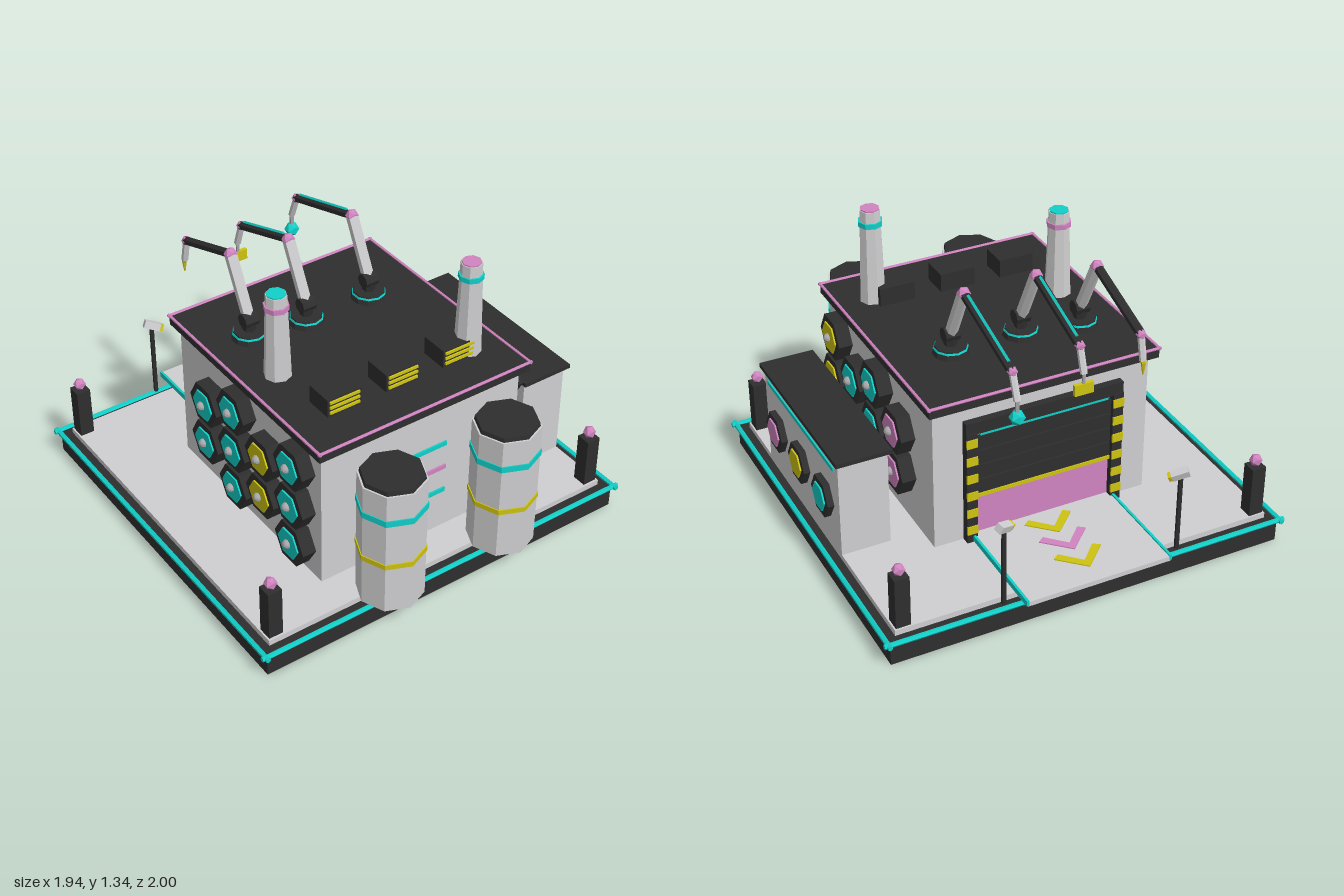
import * as THREE from 'three';

const mat = (name, color) => {
  const m = new THREE.MeshStandardMaterial({ color });
  m.name = name;
  return m;
};
const V = (x, y, z) => new THREE.Vector3(x, y, z);

export function createModel() {
  const model = new THREE.Group();
  model.name = 'factory';
  const light = mat('lightGrey', 0xcfcfd1), dark = mat('charcoal', 0x2e2e2e), metal = mat('steel', 0xa8a8aa);
  const teal = mat('teal', 0x12d0c9), pink = mat('pink', 0xd084c0), yellow = mat('yellow', 0xcec312);

  // Faceted mesh helper
  const add = (name, geo, material, x = 0, y = 0, z = 0, parent = model) => {
    const g = geo.index ? geo.toNonIndexed() : geo;
    g.computeVertexNormals();
    const mesh = new THREE.Mesh(g, material);
    mesh.name = name;
    mesh.position.set(x, y, z);
    parent.add(mesh);
    return mesh;
  };
  // Box given by its extents
  const box = (name, m, x0, x1, y0, y1, z0, z1, parent = model) =>
    add(name, new THREE.BoxGeometry(x1 - x0, y1 - y0, z1 - z0), m, (x0 + x1) / 2, (y0 + y1) / 2, (z0 + z1) / 2, parent);
  // Upright cylinder between two heights
  const cyl = (name, m, rTop, rBottom, y0, y1, x, z, sides = 8, parent = model) =>
    add(name, new THREE.CylinderGeometry(rTop, rBottom, y1 - y0, sides), m, x, (y0 + y1) / 2, z, parent);
  // Rod between two points
  const rod = (name, m, a, b, r, sides = 6, parent = model) => {
    const d = b.clone().sub(a), mid = a.clone().add(b).multiplyScalar(0.5);
    const mesh = add(name, new THREE.CylinderGeometry(r, r, d.length(), sides), m, mid.x, mid.y, mid.z, parent);
    mesh.quaternion.setFromUnitVectors(V(0, 1, 0), d.normalize());
    return mesh;
  };
  const ball = (name, m, r, p, parent = model, detail = 0) =>
    add(name, new THREE.IcosahedronGeometry(r, detail), m, p.x, p.y, p.z, parent);
  const group = (name) => {
    const g = new THREE.Group();
    g.name = name;
    model.add(g);
    return g;
  };
  // Rectangular edging made of four rods
  const edging = (name, m, x, z0, z1, y, r, over) => {
    for (const s of [-1, 1]) rod(name, m, V(s * x, y, z0 - over), V(s * x, y, z1 + over), r);
    for (const z of [z0, z1]) rod(name, m, V(-x - over, y, z), V(x + over, y, z), r);
  };

  // Base and floor
  box('base', dark, -0.94, 0.94, 0, 0.108, -0.93, 0.865);
  box('floor', light, -0.9, 0.9, 0.1, 0.135, -0.89, 0.82);
  edging('baseTrim', teal, 0.95, -0.938, 0.872, 0.11, 0.012, 0.02);

  // Main hall and roof
  box('hall', light, -0.52, 0.52, 0.13, 0.835, -0.46, 0.65);
  box('roof', dark, -0.55, 0.55, 0.83, 0.875, -0.5, 0.685);
  edging('roofTrim', pink, 0.55, -0.5, 0.685, 0.876, 0.007, 0.008);
  [[teal, 0.605], [pink, 0.475], [teal, 0.345]].forEach(([m, y]) =>
    box('frontStripe', m, -0.13, 0.13, y - 0.011, y + 0.011, 0.65, 0.658));

  // Storage tanks with bands and wall pipe
  for (const x of [-0.3, 0.3]) {
    const g = group('tank');
    cyl('tankBody', light, 0.15, 0.15, 0.135, 0.765, x, 0.845, 8, g);
    cyl('tankCap', dark, 0.138, 0.142, 0.762, 0.785, x, 0.845, 8, g);
    cyl('tankBand', teal, 0.155, 0.155, 0.61, 0.64, x, 0.845, 8, g);
    cyl('tankBand', yellow, 0.155, 0.155, 0.375, 0.4, x, 0.845, 8, g);
    rod('tankPipe', dark, V(x, 0.67, 0.7), V(x, 0.54, 0.65), 0.025, 6, g);
  }

  // Hexagonal cells on a wall facing +x or -x
  const hexCell = (side, x, depth, y, z, r, m, stud) => {
    const g = group('hexCell');
    const hex = (name, mm, rad, h, px) =>
      add(name, new THREE.CylinderGeometry(rad, rad, h, 6).rotateZ(-Math.PI / 2), mm, side * px, y, z, g);
    hex('cellFrame', dark, r, depth, x + depth / 2);
    hex('cellPanel', m, r * 0.69, 0.009, x + depth + 0.003);
    if (stud) ball('cellStud', metal, 0.022, V(side * (x + depth + 0.01), y, z), g, 1);
  };
  const columns = [
    [0.5, [0.7, 0.49, 0.28], yellow, teal],
    [0.275, [0.595, 0.385], teal, yellow],
    [0.05, [0.7, 0.49, 0.28], teal, teal],
    [-0.175, [0.595, 0.385], pink, teal],
  ];
  for (const [z, rows, leftM, rightM] of columns) for (const y of rows) {
    hexCell(1, 0.515, 0.072, y, z, 0.11, leftM, true);
    hexCell(-1, 0.515, 0.072, y, z, 0.11, rightM, true);
  }

  // Side annex
  box('annex', light, 0.67, 0.9, 0.13, 0.61, -0.33, 0.525);
  box('annexRoof', dark, 0.655, 0.915, 0.605, 0.625, -0.352, 0.55);
  box('annexStripe', teal, 0.9, 0.907, 0.55, 0.57, -0.29, 0.48);
  [[0.37, pink], [0.1, yellow], [-0.175, teal]].forEach(([z, m]) =>
    hexCell(1, 0.895, 0.035, 0.36, z, 0.097, m, false));

  // Chimneys
  [[-0.39, 0.135, 1.29, 1.23, pink, teal], [0.385, 0.455, 1.33, 1.265, teal, pink]].forEach(([x, z, top, by, band, lid]) => {
    const g = group('chimney');
    cyl('chimneyStack', light, 0.048, 0.062, 0.87, top, x, z, 8, g);
    cyl('chimneyBand', band, 0.057, 0.057, by - 0.012, by + 0.012, x, z, 8, g);
    cyl('chimneyLid', lid, 0.044, 0.044, top, top + 0.006, x, z, 8, g);
  });

  // Roof vents
  for (const x of [-0.3, 0, 0.3]) {
    box('vent', dark, x - 0.085, x + 0.085, 0.87, 0.962, 0.37, 0.503);
    for (const y of [0.896, 0.922, 0.948])
      box('ventSlat', yellow, x - 0.076, x + 0.076, y - 0.006, y + 0.006, 0.503, 0.511);
  }

  // Robot arms: base, upper arm, forearm, wrist and tool
  const arms = [
    [-0.34, -0.165, -0.68, -0.705, 'spike'],
    [-0.07, -0.12, -0.645, -0.685, 'plate'],
    [0.27, -0.12, -0.7, -0.745, 'orb'],
  ];
  for (const [x, bz, wz, tz, tool] of arms) {
    const g = group('robotArm');
    const shoulder = V(x, 0.965, bz), elbow = V(x, 1.235, bz - 0.135);
    const wrist = V(x, 1.1, wz), hand = V(x, 0.985, tz);
    cyl('armBase', dark, 0.072, 0.085, 0.87, 0.915, x, bz, 10, g);
    cyl('armBaseRing', teal, 0.076, 0.079, 0.9, 0.908, x, bz, 10, g);
    rod('armPost', dark, V(x, 0.91, bz), shoulder, 0.03, 6, g);
    rod('shoulder', dark, V(x - 0.035, 0.968, bz), V(x + 0.035, 0.968, bz), 0.035, 8, g);
    rod('upperArm', light, shoulder, elbow, 0.028, 6, g);
    ball('elbow', pink, 0.031, elbow, g);
    rod('forearm', dark, elbow, wrist, 0.021, 6, g);
    if (tool !== 'spike') {
      const lift = V(0, 0.021, -0.006);
      rod('forearmStripe', teal, elbow.clone().lerp(wrist, 0.08).add(lift), elbow.clone().lerp(wrist, 0.92).add(lift), 0.007, 4, g);
    }
    ball('wristJoint', pink, 0.024, wrist, g);
    rod('hand', light, wrist, hand, 0.016, 6, g);
    if (tool === 'spike') {
      ball('toolJoint', yellow, 0.016, hand, g);
      cyl('toolSpike', yellow, 0.012, 0.003, 0.92, 0.98, x, tz - 0.005, 6, g);
    } else if (tool === 'plate') {
      rod('toolStem', metal, hand, V(x, 0.93, tz), 0.008, 6, g);
      box('toolPlate', yellow, x - 0.045, x + 0.045, 0.888, 0.94, tz - 0.009, tz + 0.009, g);
    } else {
      rod('toolStem', metal, hand, V(x, 0.93, tz), 0.01, 6, g);
      ball('toolOrb', teal, 0.036, V(x, 0.907, tz), g);
    }
  }

  // Loading door
  box('doorGlow', pink, -0.33, 0.33, 0.14, 0.36, -0.468, -0.46);
  box('shutterBack', metal, -0.33, 0.33, 0.36, 0.7, -0.465, -0.46);
  for (let i = 0; i < 4; i++)
    box('shutterSlat', dark, -0.33, 0.33, 0.372 + i * 0.075, 0.44 + i * 0.075, -0.48, -0.46);
  box('shutterEdge', yellow, -0.33, 0.33, 0.352, 0.37, -0.483, -0.46);
  box('doorLintel', dark, -0.38, 0.38, 0.69, 0.75, -0.495, -0.46);
  box('doorLight', teal, -0.31, 0.31, 0.675, 0.692, -0.49, -0.482);
  for (const s of [-1, 1]) {
    box('doorPost', dark, s * 0.355 - 0.025, s * 0.355 + 0.025, 0.135, 0.7, -0.5, -0.46);
    for (let i = 0; i < 6; i++)
      box('doorPostStripe', yellow, s * 0.355 - 0.026, s * 0.355 + 0.026, 0.18 + i * 0.09, 0.222 + i * 0.09, -0.505, -0.497);
  }

  // Loading ramp with chevrons
  box('ramp', light, -0.345, 0.345, 0.137, 0.16, -1, -0.46);
  for (const s of [-1, 1]) box('rampEdge', teal, s * 0.345 - 0.006, s * 0.345 + 0.006, 0.14, 0.167, -1, -0.5);
  const chevron = new THREE.Shape([[0, 0], [0.115, -0.11], [0.085, -0.133], [0, -0.047], [-0.085, -0.133], [-0.115, -0.11]]
    .map(([x, y]) => new THREE.Vector2(x, y)));
  [[-0.908, yellow], [-0.773, pink], [-0.637, yellow]].forEach(([z, m]) =>
    add('chevron', new THREE.ExtrudeGeometry(chevron, { depth: 0.006, bevelEnabled: false }).rotateX(-Math.PI / 2), m, 0, 0.159, z));

  // Corner bollards
  for (const x of [-0.858, 0.858]) for (const z of [-0.848, 0.775]) {
    box('bollard', dark, x - 0.034, x + 0.034, 0.13, 0.38, z - 0.034, z + 0.034);
    ball('bollardLamp', pink, 0.03, V(x, 0.408, z));
  }

  // Floodlights beside the ramp
  for (const s of [-1, 1]) {
    const a = V(s * 0.45, 0.535, -0.938), b = V(s * 0.385, 0.507, -0.906);
    rod('lampPost', dark, V(s * 0.42, 0.13, -0.925), V(s * 0.42, 0.52, -0.925), 0.011);
    rod('lampHead', light, a, b, 0.025, 4);
    rod('lampLens', yellow, b, b.clone().add(V(-s * 0.012, -0.005, 0.006)), 0.021, 4);
  }
  return model;
}
